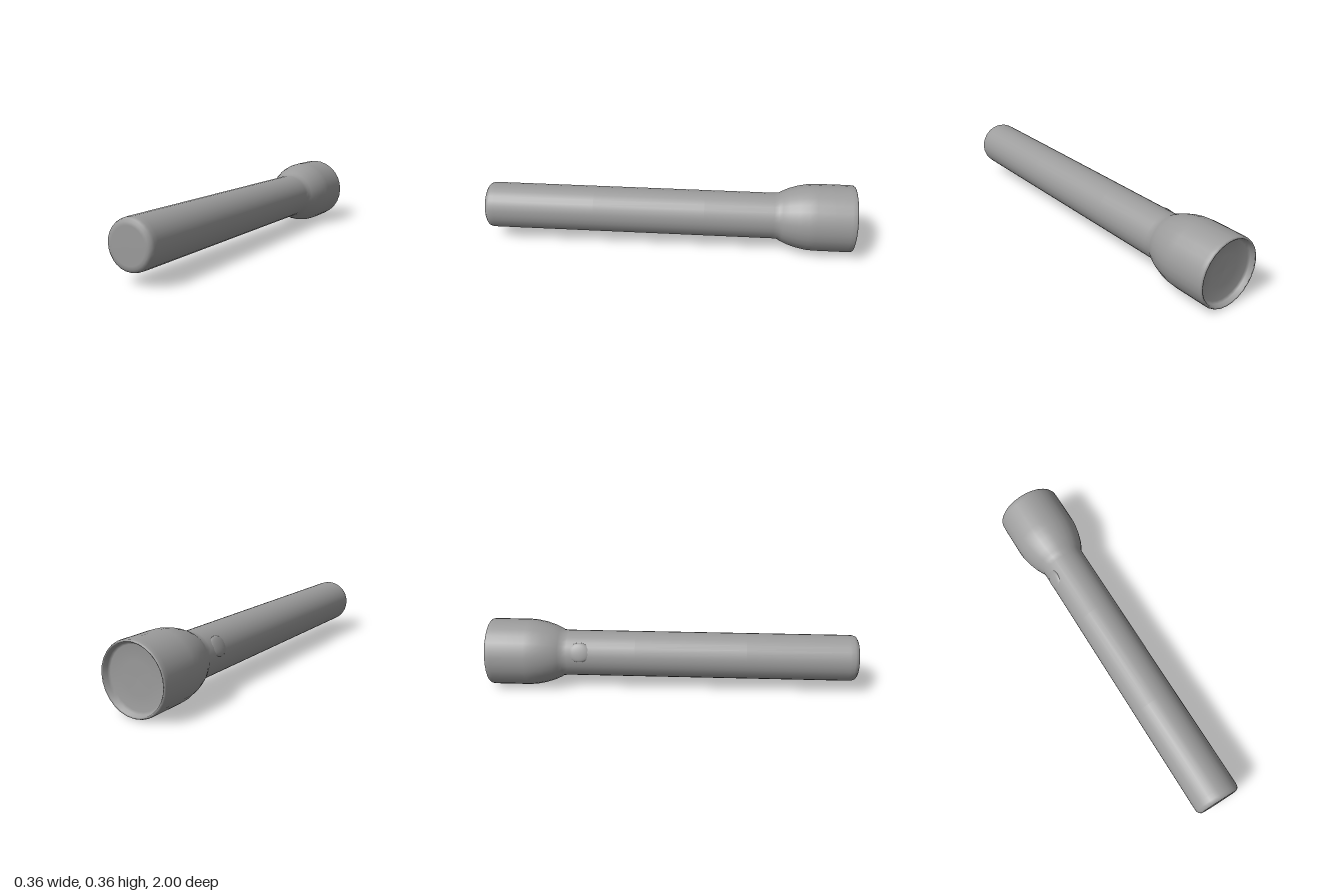
import * as THREE from 'three';

const AXIS_Y = 0.182;

// Turned profile as [radius, z], from the lens at the back to the tail at the front
const PROFILE = [
  // recessed lens and rim
  [0, -0.965], [0.08, -0.966], [0.153, -0.968], [0.163, -0.978], [0.17, -0.998], [0.177, -1], [0.181, -0.992],
  // head tapering into the grip
  [0.182, -0.97], [0.182, -0.88], [0.182, -0.79], [0.179, -0.75], [0.169, -0.7],
  [0.153, -0.65], [0.138, -0.618], [0.127, -0.598], [0.125, -0.57],
  // grip
  [0.125, -0.2], [0.125, 0.4], [0.125, 0.95],
  // rounded tail
  [0.124, 0.975], [0.119, 0.99], [0.106, 0.999], [0.09, 1], [0, 1],
];

export function createModel() {
  const group = new THREE.Group();
  group.name = 'flashlight';
  const grey = new THREE.MeshStandardMaterial({ color: 0x9c9c9c });

  // Casing, turned in one smooth piece
  const casing = new THREE.LatheGeometry(PROFILE.map(([r, z]) => new THREE.Vector2(r, z)), 28);
  casing.rotateX(Math.PI / 2);
  const body = new THREE.Mesh(casing, grey);
  body.name = 'casing';
  body.position.y = AXIS_Y;
  group.add(body);

  // Low domed switch, set into the upper right of the grip
  const angle = THREE.MathUtils.degToRad(155);
  const button = new THREE.Mesh(new THREE.SphereGeometry(1, 20, 12), grey);
  button.name = 'switchButton';
  button.scale.set(0.016, 0.052, 0.062);
  button.rotation.z = angle;
  button.position.set(0.114 * Math.cos(angle), AXIS_Y + 0.114 * Math.sin(angle), -0.5);
  group.add(button);

  return group;
}
